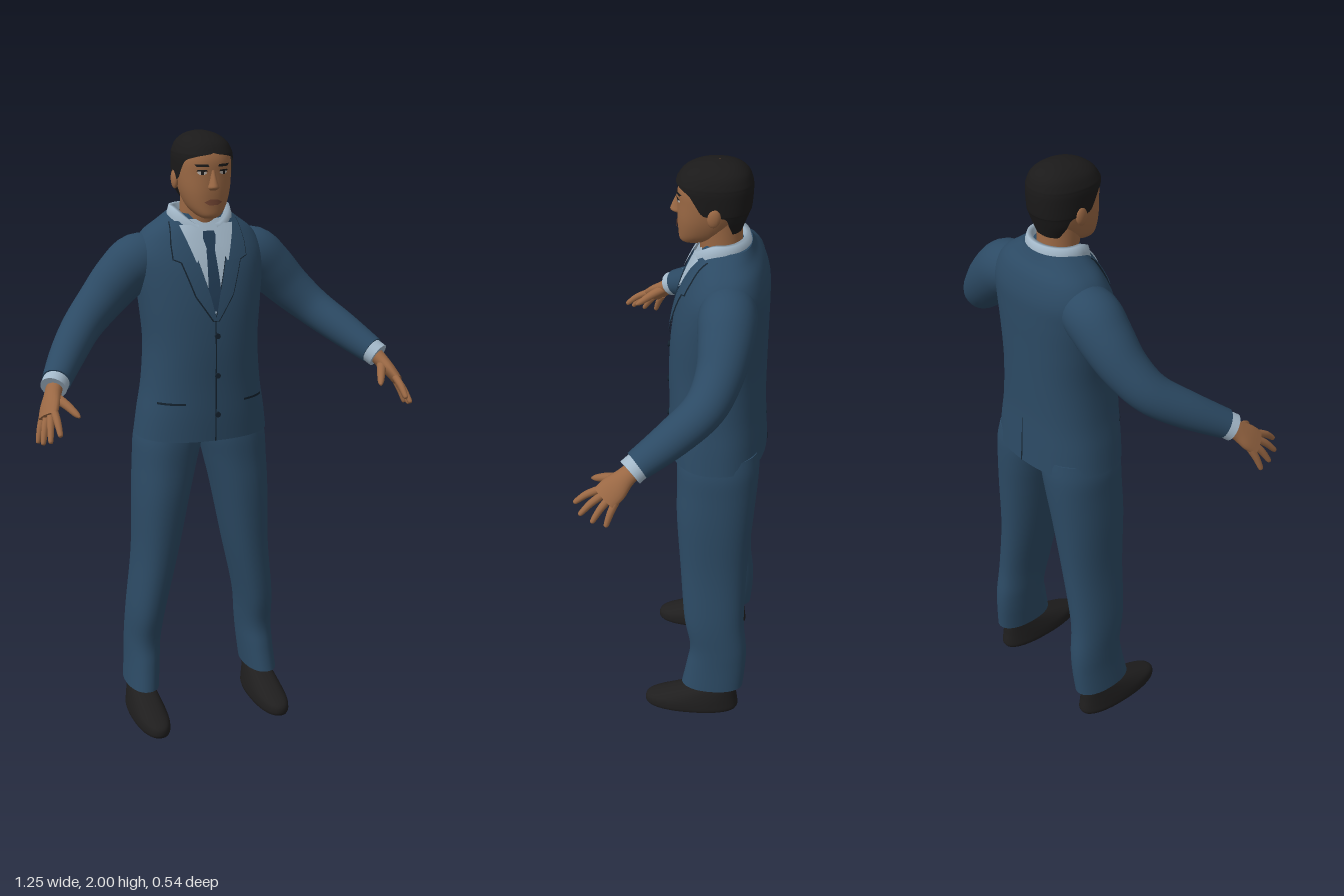
import * as THREE from 'three';

const mat = (name, color) => new THREE.MeshStandardMaterial({ name, color, side: THREE.DoubleSide });
const V = (x, y, z) => new THREE.Vector3(x, y, z);

// Catmull-Rom smoothing of station rows (every column is interpolated)
function smooth(rows, steps = 6) {
  const out = [], at = i => rows[Math.min(Math.max(i, 0), rows.length - 1)];
  for (let i = 0; i < rows.length - 1; i++) {
    for (let k = 0; k < steps; k++) {
      const t = k / steps;
      const row = rows[i].map((b, c) => {
        const a = at(i - 1)[c], d = at(i + 1)[c], e = at(i + 2)[c];
        const cubic = 3 * (b - d) + e - a, square = 2 * a - 5 * b + 4 * d - e;
        return b + 0.5 * t * (d - a + t * (square + t * cubic));
      });
      out.push(row);
    }
  }
  out.push(rows[rows.length - 1]);
  return out;
}

// Skin over rings of points; closed rings wrap around and get end caps
function skin(rings, closed = true) {
  const n = rings[0].length, pos = [], idx = [];
  rings.forEach(r => r.forEach(p => pos.push(p.x, p.y, p.z)));
  for (let i = 0; i < rings.length - 1; i++) {
    for (let j = 0; j < (closed ? n : n - 1); j++) {
      const a = i * n + j, b = i * n + (j + 1) % n;
      idx.push(a, b, a + n, b, b + n, a + n);
    }
  }
  if (closed) for (const end of [0, rings.length - 1]) {
    const ring = rings[end], start = pos.length / 3 + 1;
    const c = ring.reduce((s, p) => s.add(p), V(0, 0, 0)).divideScalar(n);
    pos.push(c.x, c.y, c.z);
    ring.forEach(p => pos.push(p.x, p.y, p.z));
    for (let j = 0; j < n; j++) {
      const a = start + j, b = start + (j + 1) % n;
      idx.push(start - 1, end ? a : b, end ? b : a);
    }
  }
  const g = new THREE.BufferGeometry();
  g.setAttribute('position', new THREE.Float32BufferAttribute(pos, 3));
  g.setIndex(idx);
  g.computeVertexNormals();
  return g;
}

const bend = (v, e) => Math.sign(v) * Math.abs(v) ** (2 / e);
const oval = ([y, cx, cz, rx, rz], t, e) => V(cx + rx * bend(Math.sin(t), e), y, cz + rz * bend(Math.cos(t), e));

// Upright body from rows [y, centre x, centre z, half width, half depth]
function body(rows, e = 2.2, n = 40) {
  const ring = r => Array.from({ length: n }, (_, j) => oval(r, j / n * Math.PI * 2, e));
  return skin(rows.map(ring));
}

// Limb along rows [x, y, z, radius across, radius thick]
const ACROSS = V(-0.4, 0.35, 0.85);
function limb(rows, n = 20) {
  const s = smooth(rows, 5), p = s.map(r => V(r[0], r[1], r[2]));
  const rings = s.map((r, i) => {
    const d = p[Math.min(i + 1, p.length - 1)].clone().sub(p[Math.max(i - 1, 0)]).normalize();
    const u = ACROSS.clone().addScaledVector(d, -ACROSS.dot(d)).normalize(), v = d.clone().cross(u);
    return Array.from({ length: n }, (_, j) => {
      const t = j / n * Math.PI * 2;
      return p[i].clone().addScaledVector(u, r[3] * Math.cos(t)).addScaledVector(v, r[4] * Math.sin(t));
    });
  });
  return skin(rings);
}

// Depth of a body's surface at x, y (side 1 = front, -1 = back)
function depth(rows, e, x, y, side) {
  let i = rows.findIndex(r => r[0] > y);
  if (i < 1) i = i < 0 ? rows.length - 1 : 1;
  const a = rows[i - 1], b = rows[i], t = THREE.MathUtils.clamp((y - a[0]) / (b[0] - a[0]), 0, 1);
  const [, cx, cz, rx, rz] = a.map((v, k) => v + (b[k] - v) * t);
  return cz + side * rz * Math.max(0, 1 - Math.abs((x - cx) / rx) ** e) ** (1 / e);
}

// Thin plate lying on a body, from rows [y, x start, x end] given bottom to top
function plate(rows, e, outline, lift, side = 1) {
  const rings = [];
  for (let i = 0; i < outline.length - 1; i++) for (let k = i ? 1 : 0; k <= 4; k++) {
    const [y, x0, x1] = outline[i].map((v, c) => v + (outline[i + 1][c] - v) * k / 4);
    const ring = Array.from({ length: 9 }, (_, j) => {
      const f = side > 0 ? j / 8 : 1 - j / 8, x = x0 + (x1 - x0) * f;
      return V(x, y, depth(rows, e, x, y, side) + side * lift);
    });
    rings.push(ring);
  }
  return skin(rings, false);
}

function mirrored(geo) {
  const g = geo.clone().scale(-1, 1, 1), a = g.index.array;
  for (let i = 0; i < a.length; i += 3) [a[i], a[i + 1]] = [a[i + 1], a[i]];
  g.computeVertexNormals();
  return g;
}

export function createModel() {
  const root = new THREE.Group();
  root.name = 'suitedMan';
  const suit = mat('suitBlue', 0x2c4a64), tieBlue = mat('tieBlue', 0x223c55), seam = mat('seamDark', 0x14222e);
  const shirt = mat('shirtPaleBlue', 0xa3b8c9), flesh = mat('skinBrown', 0x9a6844), lip = mat('lipBrown', 0x7c4b37);
  const hair = mat('hairBlack', 0x1b1a1a), leather = mat('shoeBlack', 0x1f1e1e), white = mat('eyeWhite', 0xb5aca4);
  const add = (name, geo, m) => {
    const mesh = new THREE.Mesh(geo, m);
    mesh.name = name;
    root.add(mesh);
  };
  const pair = (name, geo, m) => {
    add(name + 'Left', geo, m);
    add(name + 'Right', mirrored(geo), m);
  };

  // Jacket body
  const T = 2.3, torso = smooth([
    [1.02, 0, -0.11, 0.225, 0.158], [1.1, 0, -0.107, 0.214, 0.157], [1.2, 0, -0.105, 0.198, 0.154],
    [1.33, 0, -0.105, 0.19, 0.154], [1.45, 0, -0.11, 0.2, 0.15], [1.55, 0, -0.12, 0.212, 0.141],
    [1.62, 0, -0.13, 0.215, 0.128], [1.68, 0, -0.135, 0.185, 0.106], [1.72, 0, -0.132, 0.135, 0.083],
    [1.745, 0, -0.132, 0.1, 0.07]]);
  add('jacket', body(torso, T, 56), suit);

  // Shirt front, tie, lapels
  const onTorso = (outline, lift, side) => plate(torso, T, outline, lift, side);
  add('shirtFront', onTorso([[1.44, -0.003, 0.003], [1.6, -0.05, 0.05], [1.73, -0.085, 0.085]], 0.003), shirt);
  add('tie', onTorso([[1.45, -0.008, 0.008], [1.5, -0.022, 0.022], [1.64, -0.014, 0.014]], 0.007), tieBlue);
  add('tieKnot', onTorso([[1.635, -0.012, 0.012], [1.685, -0.024, 0.024], [1.695, -0.02, 0.02]], 0.011), tieBlue);
  const lapel = [[1.42, -0.002, 0.008], [1.5, 0.016, 0.062], [1.605, 0.045, 0.098], [1.615, 0.048, 0.122],
    [1.66, 0.06, 0.122], [1.725, 0.08, 0.112]];
  const lapelEdge = lapel.map(([y, a, b]) => [y - 0.003, a - 0.002, b + 0.003]);
  pair('lapel', onTorso(lapel, 0.009), suit);
  pair('lapelEdge', onTorso(lapelEdge, 0.006), seam);

  // Jacket details
  add('frontClosure', onTorso([[1.02, -0.004, 0], [1.42, -0.002, 0.002]], 0.002), seam);
  add('backVent', onTorso([[1.02, -0.003, 0.003], [1.18, -0.001, 0.001]], 0.002, -1), seam);
  pair('pocketFlap', onTorso([[1.145, 0.1, 0.18], [1.152, 0.1, 0.18]], 0.003), seam);
  for (const y of [1.37, 1.24, 1.11]) {
    const b = new THREE.CylinderGeometry(0.009, 0.009, 0.008, 16).rotateX(Math.PI / 2);
    add('button', b.translate(0.004, y, depth(torso, T, 0, y, 1) + 0.003), seam);
  }

  // Shirt collar: a band round the neck, lower in front, plus two pointed wings
  const band = (r, drop) => Array.from({ length: 41 }, (_, j) => {
    const t = 0.3 + j / 40 * (Math.PI * 2 - 0.6), f = Math.max(0, Math.cos(t));
    return V((0.09 + r) * Math.sin(t), 1.768 - 0.06 * f * f - drop, -0.11 + (0.075 + r) * Math.cos(t));
  });
  const bands = [band(0.018, 0.06), band(0.016, 0.025), band(0.009, 0), band(-0.006, 0.002), band(-0.012, 0.05)];
  add('collarBand', skin(bands, false), shirt);
  pair('collarWing', onTorso([[1.605, 0.05, 0.054], [1.66, 0.026, 0.072], [1.715, 0.014, 0.09]], 0.014), shirt);

  // Sleeves and cuffs
  const sleeve = [[0.12, 1.595, -0.14, 0.075, 0.075], [0.195, 1.59, -0.145, 0.088, 0.09],
    [0.26, 1.54, -0.145, 0.083, 0.084], [0.328, 1.472, -0.133, 0.072, 0.073], [0.402, 1.403, -0.095, 0.064, 0.063],
    [0.472, 1.342, -0.01, 0.057, 0.056], [0.535, 1.285, 0.085, 0.046, 0.045]];
  pair('sleeve', limb(sleeve, 28), suit);
  pair('shirtCuff', limb([[0.525, 1.294, 0.07, 0.042, 0.041], [0.55, 1.27, 0.104, 0.043, 0.041]]), shirt);

  // Hands: palm, four fingers and a thumb
  const palm = [[0.54, 1.278, 0.09, 0.028, 0.025], [0.556, 1.255, 0.118, 0.031, 0.023],
    [0.573, 1.228, 0.147, 0.041, 0.02], [0.588, 1.2, 0.176, 0.042, 0.016]];
  pair('palm', limb(palm), flesh);
  const tips = [[0.573, 1.165, 0.268], [0.6, 1.142, 0.25], [0.614, 1.127, 0.212], [0.62, 1.12, 0.17]];
  tips.forEach((tip, i) => {
    const k = 0.031 - i * 0.0207, base = [0.583, 1.206, 0.168].map((c, a) => c + k * ACROSS.getComponent(a));
    const mid = base.map((c, a) => (c + tip[a]) / 2 + (a === 1 ? 0.006 : 0));
    const near = tip.map((c, a) => c + (mid[a] - c) * 0.15);
    const finger = [[...base, 0.012, 0.012], [...mid, 0.011, 0.011], [...near, 0.008, 0.008], [...tip, 0.003, 0.003]];
    pair('finger', limb(finger, 10), flesh);
  });
  const thumb = [[0.555, 1.25, 0.125, 0.016, 0.018], [0.529, 1.232, 0.172, 0.014, 0.014],
    [0.509, 1.212, 0.21, 0.01, 0.01], [0.502, 1.205, 0.225, 0.003, 0.003]];
  pair('thumb', limb(thumb, 12), flesh);

  // Trousers, ankles, shoes
  const leg = smooth([
    [0.11, 0.22, -0.118, 0.055, 0.107], [0.2, 0.212, -0.13, 0.056, 0.102], [0.28, 0.207, -0.135, 0.058, 0.097],
    [0.4, 0.197, -0.119, 0.063, 0.102], [0.6, 0.165, -0.113, 0.075, 0.112], [0.8, 0.142, -0.113, 0.093, 0.126],
    [0.92, 0.125, -0.117, 0.104, 0.131], [1.0, 0.113, -0.118, 0.111, 0.133], [1.06, 0.105, -0.118, 0.105, 0.128]]);
  pair('trouserLeg', body(leg), suit);
  pair('ankle', body([[0.05, 0.22, -0.125, 0.036, 0.05], [0.13, 0.22, -0.125, 0.038, 0.055]], 2), flesh);
  const shoe = smooth([
    [0, 0.22, -0.045, 0.055, 0.16], [0.012, 0.22, -0.045, 0.058, 0.165], [0.035, 0.22, -0.048, 0.056, 0.16],
    [0.055, 0.22, -0.07, 0.052, 0.135], [0.078, 0.22, -0.1, 0.046, 0.103], [0.1, 0.22, -0.13, 0.04, 0.07]], 4);
  pair('shoe', body(shoe, 2.3), leather);

  // Neck and head
  add('neck', body([[1.66, 0, -0.115, 0.068, 0.068], [1.74, 0, -0.108, 0.063, 0.064], [1.82, 0, -0.1, 0.062, 0.07]], 2), flesh);
  const H = 2.25, head = smooth([
    [1.738, 0, -0.018, 0.022, 0.024], [1.748, 0, -0.028, 0.04, 0.045], [1.775, 0, -0.05, 0.062, 0.07],
    [1.82, 0, -0.065, 0.078, 0.088], [1.87, 0, -0.075, 0.085, 0.097], [1.92, 0, -0.08, 0.085, 0.1],
    [1.96, 0, -0.085, 0.073, 0.085], [1.985, 0, -0.09, 0.04, 0.05]]);
  add('head', body(head, H), flesh);
  const ear = new THREE.SphereGeometry(1, 14, 10).scale(0.011, 0.03, 0.02).rotateX(-0.15);
  pair('ear', ear.translate(0.088, 1.853, -0.092), flesh);
  const nose = smooth([[1.828, 0, 0.018, 0.012, 0.008], [1.836, 0, 0.02, 0.018, 0.024],
    [1.85, 0, 0.02, 0.014, 0.021], [1.875, 0, 0.014, 0.009, 0.016], [1.895, 0, 0.01, 0.009, 0.01]], 4);
  add('nose', body(nose, 2, 16), flesh);

  // Hair: rows [y, centre x, centre z, half width, half depth, angle from the front where it starts]
  const hairRows = smooth([
    [1.785, 0, -0.1, 0.06, 0.07, 2.2], [1.82, 0, -0.095, 0.08, 0.088, 2.0], [1.85, 0, -0.09, 0.088, 0.104, 1.85],
    [1.858, 0, -0.089, 0.09, 0.108, 1.35], [1.89, 0, -0.087, 0.092, 0.113, 1.15], [1.918, 0, -0.086, 0.093, 0.115, 0.95],
    [1.932, 0, -0.086, 0.092, 0.114, 0.5], [1.942, 0, -0.087, 0.09, 0.111, 0], [1.968, 0, -0.091, 0.077, 0.096, 0],
    [1.988, 0, -0.096, 0.052, 0.066, 0], [1.998, 0, -0.1, 0.022, 0.03, 0], [2, 0, -0.1, 0.001, 0.001, 0]], 4);
  const hairRings = hairRows.map(r => {
    const s = Math.max(0, r[5]);
    return Array.from({ length: 49 }, (_, j) => oval(r, s + j / 48 * (Math.PI * 2 - 2 * s), H));
  });
  add('hair', skin(hairRings, false), hair);

  // Face details
  const onFace = (outline, lift) => plate(head, H, outline, lift);
  pair('eyeWhite', onFace([[1.876, 0.028, 0.042], [1.882, 0.02, 0.05], [1.888, 0.028, 0.044]], 0.002), white);
  pair('iris', onFace([[1.876, 0.031, 0.039], [1.888, 0.031, 0.039]], 0.004), hair);
  pair('eyelid', onFace([[1.886, 0.018, 0.052], [1.891, 0.022, 0.048]], 0.004), hair);
  pair('eyebrow', onFace([[1.9, 0.014, 0.05], [1.908, 0.018, 0.058]], 0.004), hair);
  add('lips', onFace([[1.782, -0.014, 0.014], [1.791, -0.03, 0.03], [1.8, -0.012, 0.012]], 0.004), lip);
  return root;
}
